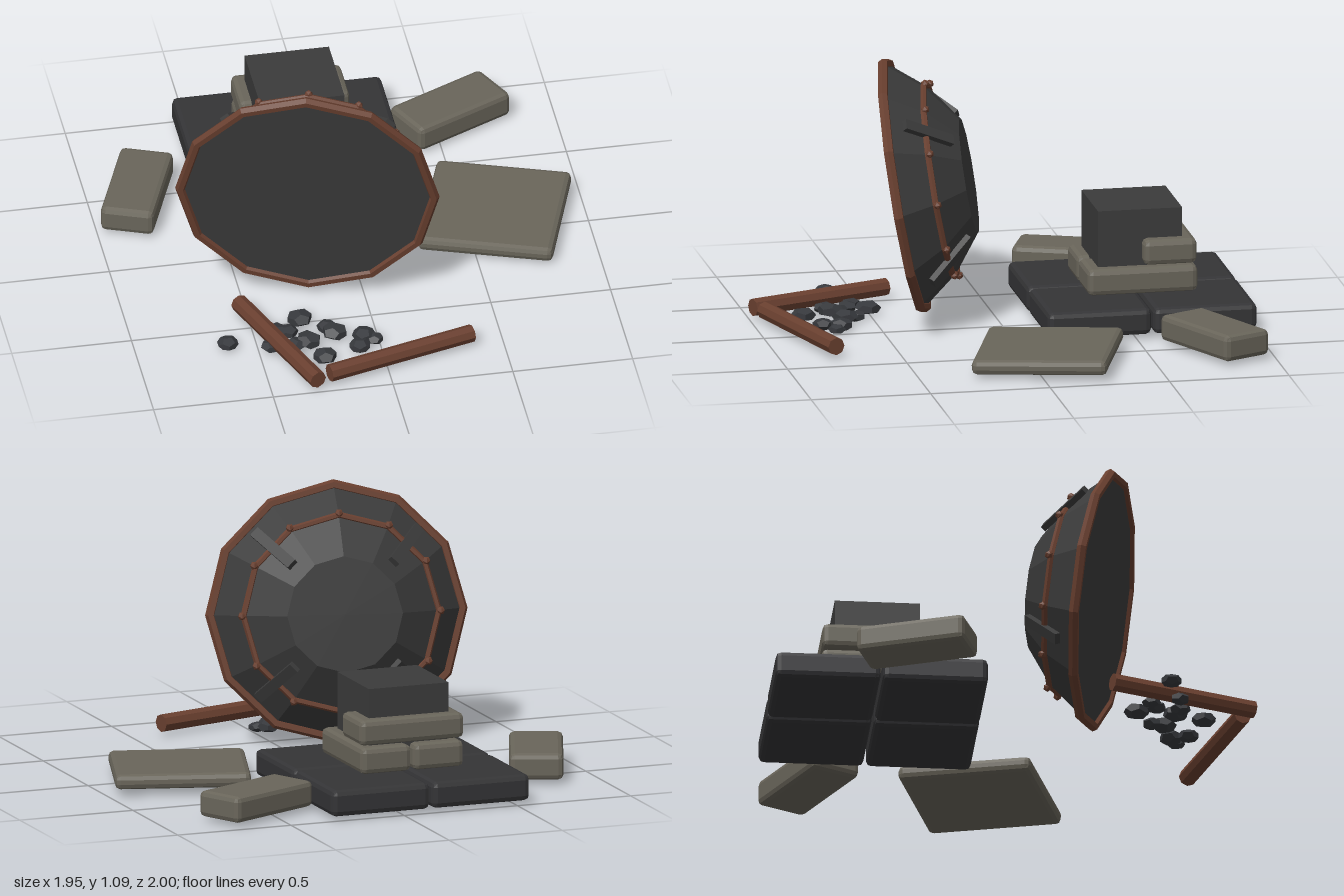
import * as THREE from 'three';
import { RoundedBoxGeometry } from 'three/addons/geometries/RoundedBoxGeometry.js';

const mat = (name, color) => {
  const m = new THREE.MeshStandardMaterial({ color, flatShading: true });
  m.name = name;
  return m;
};

export function createModel() {
  const model = new THREE.Group();
  const iron = mat('iron', 0x3b3b3b);
  const tile = mat('dark tile', 0x343436);
  const stone = mat('stone', 0x69655a);
  const rust = mat('rust', 0x693f2f);
  const coal = mat('coal', 0x37393d);

  const add = (name, geometry, material, parent = model) => {
    const mesh = new THREE.Mesh(geometry, material);
    mesh.name = name;
    parent.add(mesh);
    return mesh;
  };
  // Box with chamfered edges
  const block = (name, size, pos, material, yaw = 0) => {
    const mesh = add(name, new RoundedBoxGeometry(...size, 1, 0.022), material);
    mesh.position.set(...pos);
    mesh.rotation.y = yaw;
    return mesh;
  };

  // Paved base of four tiles
  for (const sx of [-1, 1]) for (const sz of [-1, 1]) {
    block('baseTile', [0.432, 0.11, 0.432], [-0.12 + sx * 0.221, 0.075, -0.566 + sz * 0.221], tile);
  }

  // Stacked stones around the core
  for (const sx of [-1, 1]) {
    block('lowerStone', [0.222, 0.11, 0.46], [-0.12 + sx * 0.116, 0.193, -0.567], stone);
  }
  block('upperStone', [0.46, 0.105, 0.222], [-0.12, 0.31, -0.682], stone);
  add('core', new THREE.BoxGeometry(0.352, 0.29, 0.352), iron).position.set(-0.123, 0.34, -0.564);

  // Loose stones and a fallen slab
  block('looseStone', [0.222, 0.11, 0.46], [-0.803, 0.075, -0.444], stone, -0.37);
  block('looseStone', [0.46, 0.11, 0.222], [0.565, 0.075, -0.775], stone, 0.45);
  const slab = block('fallenSlab', [0.56, 0.062, 0.56], [0.62, 0.057, -0.064], stone, -0.325);
  slab.rotation.order = 'XYZ';
  slab.rotation.x = 0.03;

  // Leaning bowl: closed twelve-sided shell with a flat mouth
  const bowl = new THREE.Group();
  bowl.name = 'bowl';
  bowl.position.set(-0.242, 0.557, 0.37);
  bowl.rotation.set(0.17, -0.24, 0, 'YXZ');
  model.add(bowl);
  const profile = [[0, 0], [0.525, 0], [0.40, 0.155], [0.24, 0.275], [0, 0.28]]
    .map(([r, d]) => new THREE.Vector2(r, d));
  add('bowlShell', new THREE.LatheGeometry(profile, 12).rotateX(-Math.PI / 2), iron, bowl);
  add('bowlRim', new THREE.TorusGeometry(0.522, 0.022, 6, 12), rust, bowl).position.z = -0.006;
  add('bowlBand', new THREE.TorusGeometry(0.404, 0.014, 6, 12), rust, bowl).position.z = -0.155;

  // Rivets along the band
  for (let i = 0; i < 12; i++) {
    const a = i * Math.PI / 6;
    add('rivet', new THREE.IcosahedronGeometry(0.018, 0), rust, bowl)
      .position.set(0.412 * Math.cos(a), 0.412 * Math.sin(a), -0.163);
  }

  // Four straps lying over the band
  for (let i = 0; i < 4; i++) {
    const arm = new THREE.Group();
    arm.name = 'strapArm';
    arm.rotation.z = Math.PI / 4 + i * Math.PI / 2;
    bowl.add(arm);
    const strap = add('strap', new THREE.BoxGeometry(0.25, 0.045, 0.025), iron, arm);
    strap.position.set(0.388, 0, -0.165);
    strap.rotation.y = -0.75;
  }

  // Rusty rods on the ground
  const rod = (x0, z0, x1, z1) => {
    const dx = x1 - x0, dz = z1 - z0;
    const geo = new THREE.CylinderGeometry(0.037, 0.037, Math.hypot(dx, dz), 8).rotateX(Math.PI / 2);
    const mesh = add('rod', geo, rust);
    mesh.position.set((x0 + x1) / 2, 0.054, (z0 + z1) / 2);
    mesh.rotation.y = Math.atan2(dx, dz);
  };
  rod(-0.53, 0.385, -0.31, 0.985);
  rod(-0.255, 0.945, 0.372, 0.77);

  // Scattered lumps of coal: x, z, radius
  [[-0.62, 0.62, 0.045], [-0.30, 0.505, 0.055], [-0.36, 0.58, 0.042], [-0.41, 0.555, 0.04],
    [-0.45, 0.67, 0.042], [-0.35, 0.68, 0.045], [-0.29, 0.665, 0.055], [-0.20, 0.575, 0.042],
    [-0.175, 0.625, 0.055], [-0.06, 0.665, 0.05], [-0.02, 0.69, 0.038], [-0.09, 0.735, 0.045],
    [-0.245, 0.785, 0.052]].forEach(([x, z, r], i) => {
    const lump = add('coalLump', new THREE.DodecahedronGeometry(r, 0), coal);
    lump.scale.y = 0.55;
    lump.position.set(x, 0.55 * r + 0.002, z);
    lump.rotation.y = i * 1.7;
  });

  return model;
}
